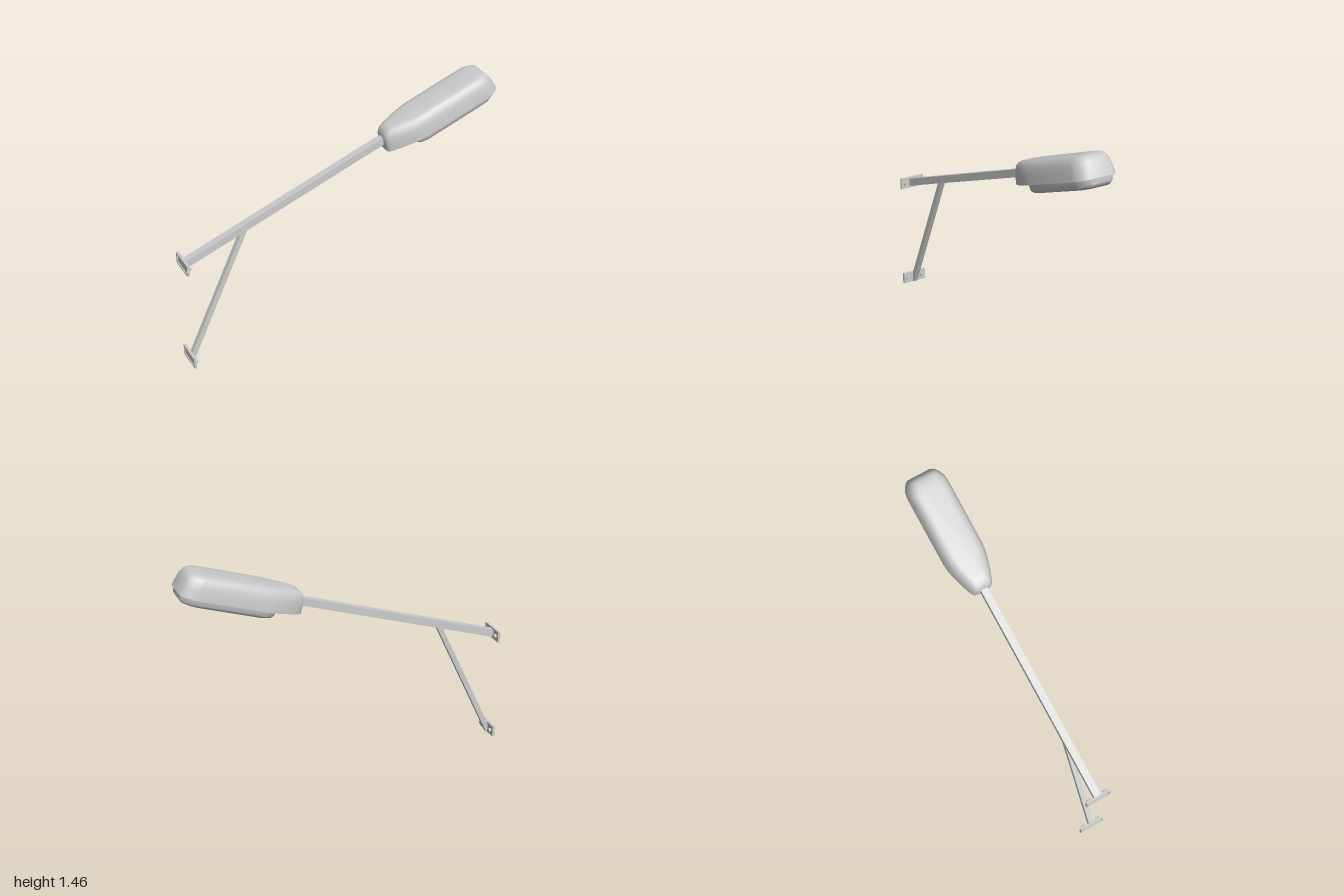
import * as THREE from 'three';
import { toCreasedNormals } from 'three/addons/utils/BufferGeometryUtils.js';

const grey = new THREE.MeshStandardMaterial({ color: 0xcccccc });

function add(parent, name, geometry) {
  const mesh = new THREE.Mesh(geometry, grey);
  mesh.name = name;
  parent.add(mesh);
  return mesh;
}

// Side profile in x/y, extruded symmetrically about z = 0
function bar(points, width) {
  const shape = new THREE.Shape(points.map(([x, y]) => new THREE.Vector2(x, y)));
  return new THREE.ExtrudeGeometry(shape, { depth: width, bevelEnabled: false }).translate(0, 0, -width / 2);
}

// Stacked outlines, bottom to top. half: [u 0..1, z 0..1]; layers: [height, rear, front, halfWidth]
function loft(half, layers) {
  const ring = [...half, ...half.slice().reverse().map(([u, z]) => [u, -z])];
  const n = ring.length, pos = [], index = [];
  for (const [y, rear, front, w] of layers)
    for (const [u, z] of ring) pos.push(rear + (front - rear) * u, y, z * w);
  for (let j = 0; j < layers.length - 1; j++)
    for (let i = 0; i < n; i++) {
      const a = j * n + i, b = j * n + (i + 1) % n;
      index.push(a, b, b + n, a, b + n, a + n);
    }
  // end caps
  [0, layers.length - 1].forEach((j, top) => {
    const [y, rear, front] = layers[j], c = pos.length / 3;
    pos.push((rear + front) / 2, y, 0);
    for (let i = 0; i < n; i++) {
      const a = j * n + i, b = j * n + (i + 1) % n;
      index.push(c, ...(top ? [a, b] : [b, a]));
    }
  });
  const g = new THREE.BufferGeometry();
  g.setAttribute('position', new THREE.Float32BufferAttribute(pos, 3));
  g.setIndex(index);
  return toCreasedNormals(g, 0.85);
}

// Wall plate with a recessed back and two bolts
function wallPlate(name, y) {
  const group = new THREE.Group();
  group.name = name;
  group.position.set(-1, y, 0);
  const w = 0.079, h = 0.035, b = 0.01;
  const rect = (P, a, c) => new P([[-a, -c], [a, -c], [a, c], [-a, c]].map(p => new THREE.Vector2(...p)));
  const shape = rect(THREE.Shape, w, h);
  shape.holes.push(rect(THREE.Path, w - b, h - b));
  const frame = new THREE.ExtrudeGeometry(shape, { depth: 0.016, bevelEnabled: false }).rotateY(Math.PI / 2);
  add(group, 'plateFrame', frame);
  add(group, 'platePanel', new THREE.BoxGeometry(0.01, 2 * (h - b), 2 * (w - b)).translate(0.011, 0, 0));
  for (const s of [-1, 1]) {
    const bolt = new THREE.CylinderGeometry(0.012, 0.012, 0.02, 16).rotateZ(Math.PI / 2);
    add(group, 'bolt', bolt).position.set(0.022, 0, s * 0.053);
  }
  return group;
}

export function createModel() {
  const model = new THREE.Group();
  model.name = 'wallStreetLamp';

  model.add(wallPlate('upperWallPlate', 0.703), wallPlate('lowerWallPlate', 0.037));

  // Sloping arm and its diagonal brace
  add(model, 'arm', bar([[-0.985, 0.68], [0.33, 1.155], [0.33, 1.203], [-0.985, 0.728]], 0.043));
  add(model, 'brace', bar([[-0.985, 0.004], [-0.976, 0.004], [-0.595, 0.825], [-0.628, 0.825], [-0.985, 0.06]], 0.029));

  // Lamp head, tilted along the arm
  const head = new THREE.Group();
  head.name = 'lampHead';
  head.position.set(0.287, 1.1, 0);
  head.rotation.z = THREE.MathUtils.degToRad(20);
  model.add(head);

  const housingOutline = [
    [0, 0.32], [0.008, 0.44], [0.03, 0.54], [0.12, 0.74], [0.2, 0.88], [0.26, 0.96], [0.32, 1],
    [0.88, 1], [0.92, 0.96], [0.96, 0.85], [0.99, 0.7], [1, 0.56],
  ];
  add(head, 'housing', loft(housingOutline, [
    [0, 0, 0.753, 0.125],
    [0.05, 0.004, 0.743, 0.122],
    [0.085, 0.012, 0.734, 0.116],
    [0.108, 0.024, 0.724, 0.107],
    [0.122, 0.042, 0.709, 0.095],
    [0.129, 0.066, 0.685, 0.08],
    [0.132, 0.1, 0.65, 0.06],
  ]));

  const lensOutline = [
    [0, 0.6], [0.02, 0.78], [0.06, 0.92], [0.12, 1],
    [0.84, 1], [0.9, 0.95], [0.96, 0.8], [1, 0.6],
  ];
  add(head, 'lens', loft(lensOutline, [
    [-0.053, 0.215, 0.69, 0.072],
    [-0.051, 0.195, 0.709, 0.086],
    [-0.044, 0.178, 0.726, 0.097],
    [-0.03, 0.168, 0.737, 0.105],
    [0.005, 0.164, 0.744, 0.108],
  ]));

  return model;
}
